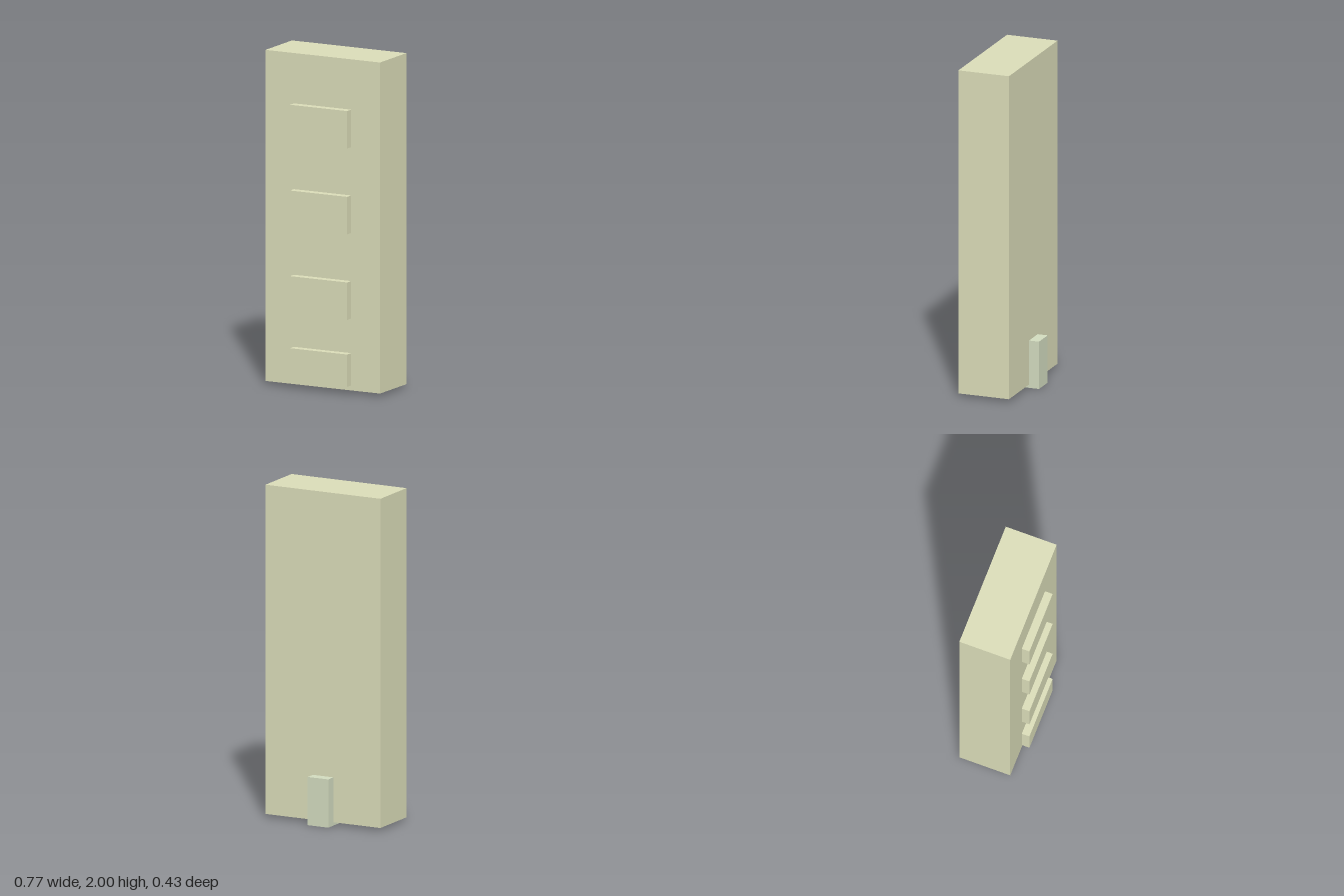
import * as THREE from 'three';

// Box given by its minimum and maximum corners
function block(name, material, [x0, y0, z0], [x1, y1, z1]) {
  const geometry = new THREE.BoxGeometry(x1 - x0, y1 - y0, z1 - z0);
  const mesh = new THREE.Mesh(geometry, material);
  mesh.position.set((x0 + x1) / 2, (y0 + y1) / 2, (z0 + z1) / 2);
  mesh.name = name;
  return mesh;
}

export function createModel() {
  const model = new THREE.Group();
  model.name = 'towerBlock';
  const wall = new THREE.MeshStandardMaterial({ color: 0xdadcb8 });
  const porch = new THREE.MeshStandardMaterial({ color: 0xd2dbbf });

  // Main slab, raised slightly above the ground
  model.add(block('tower', wall, [-0.384, 0.02, -0.153], [0.384, 2, 0.166]));

  // Balconies up the front
  const balconies = new THREE.Group();
  balconies.name = 'balconies';
  [0.05, 0.45, 0.962, 1.475].forEach((y, i) => {
    const top = y + (i === 0 ? 0.193 : 0.224);
    balconies.add(block(`balcony${i + 1}`, wall, [-0.193, y, 0.15], [0.191, top, 0.214]));
  });
  model.add(balconies);

  // Entrance at the back, running under the slab
  model.add(block('entrance', porch, [-0.07, 0, -0.216], [0.067, 0.29, -0.024]));
  return model;
}
